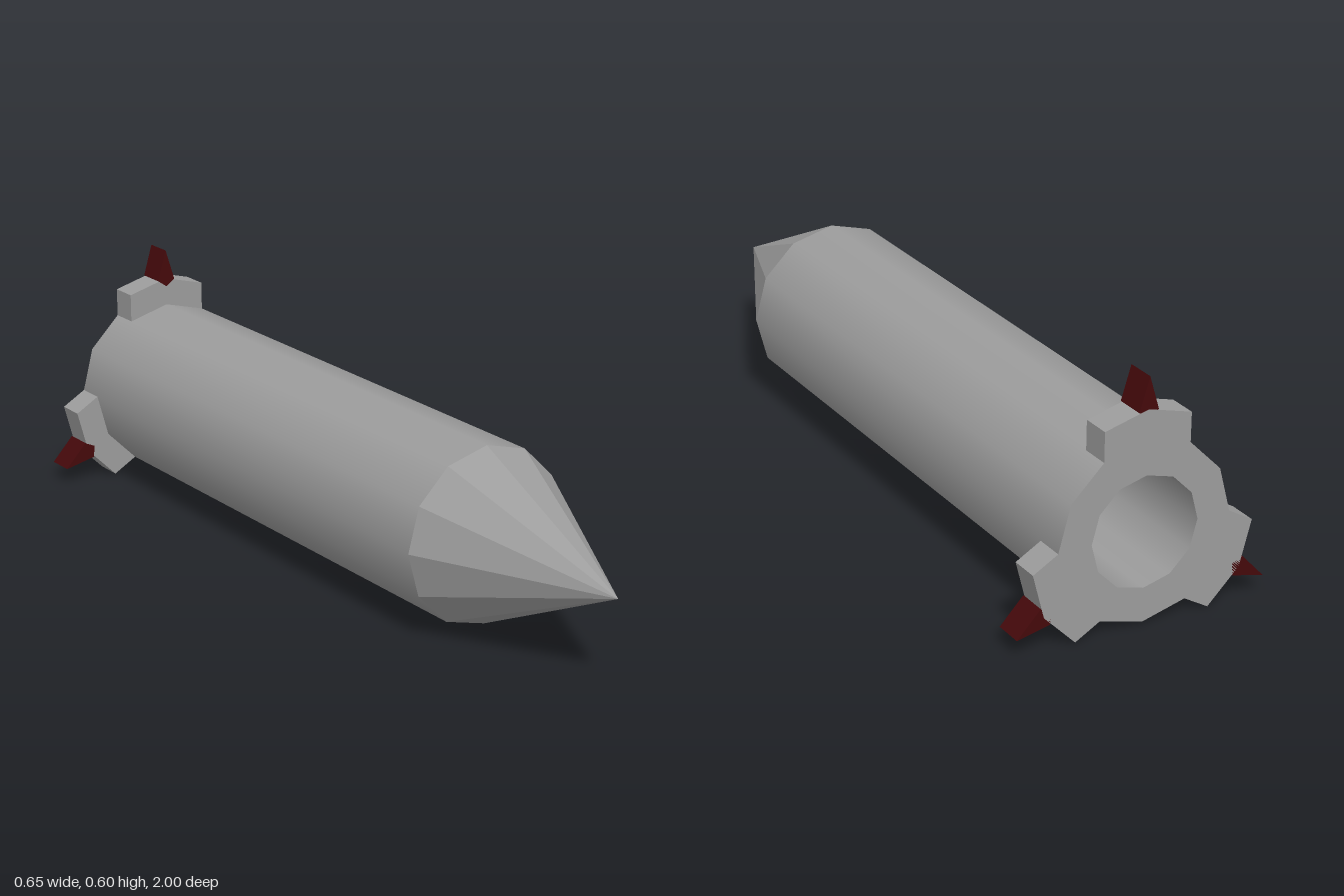
import * as THREE from 'three';

const SIDES = 12, R = 0.223, BORE = 0.138, CENTER_Y = 0.23;
const BACK = -1, SHOULDER = 0.515, TIP = 1, FIN_DEPTH = 0.074, LUG_RISE = 0.073;
const GREY = 0x9c9c9c, RED = 0x45090b;

export function createModel() {
  const model = new THREE.Group();
  model.name = 'rocket';
  const smooth = new THREE.MeshStandardMaterial({ color: GREY });
  const flat = new THREE.MeshStandardMaterial({ color: GREY, flatShading: true });
  const inside = new THREE.MeshStandardMaterial({ color: GREY, side: THREE.DoubleSide });
  const red = new THREE.MeshStandardMaterial({ color: RED, flatShading: true });

  const add = (parent, name, geometry, material) => {
    const mesh = new THREE.Mesh(geometry, material);
    mesh.name = name;
    parent.add(mesh);
  };
  // Tube or cone whose axis runs along z
  const barrel = (front, back, z0, z1) =>
    new THREE.CylinderGeometry(front, back, z1 - z0, SIDES, 1, true)
      .rotateX(Math.PI / 2).translate(0, 0, (z0 + z1) / 2);
  // Flat outline given thickness along z
  const plate = (points, depth) =>
    new THREE.ExtrudeGeometry(new THREE.Shape(points.map(([x, y]) => new THREE.Vector2(x, y))),
      { depth, bevelEnabled: false }).translate(0, 0, BACK);

  const axis = new THREE.Group();
  axis.name = 'fuselage';
  axis.position.y = CENTER_Y;
  model.add(axis);

  // Hull, faceted nose and hollow rear
  add(axis, 'body', barrel(R, R, BACK, SHOULDER), smooth);
  add(axis, 'noseCone', barrel(0, R, SHOULDER, TIP), flat);
  add(axis, 'bore', barrel(BORE, BORE, BACK, SHOULDER), inside);
  add(axis, 'boreEnd', new THREE.CircleGeometry(BORE, SIDES).rotateY(Math.PI).translate(0, 0, SHOULDER), flat);
  add(axis, 'rearRim', new THREE.RingGeometry(BORE, R, SIDES).rotateY(Math.PI).translate(0, 0, BACK), flat);

  // Lugs follow two hull facets, pushed outwards; each carries a pointed spike
  const w = R * Math.sin(Math.PI / 6), h = R * Math.cos(Math.PI / 6);
  const lug = plate([[-w, h], [0, R], [w, h], [w, h + LUG_RISE], [0, R + LUG_RISE], [-w, h + LUG_RISE]], FIN_DEPTH);
  const spike = plate([[0, 0.274], [0.025, 0.292], [0, 0.374], [-0.025, 0.292]], FIN_DEPTH + 0.001);
  for (let i = 0; i < 3; i++) {
    const fin = new THREE.Group();
    fin.name = 'fin';
    fin.rotation.z = i * Math.PI * 2 / 3;
    add(fin, 'lug', lug, flat);
    add(fin, 'spike', spike, red);
    axis.add(fin);
  }
  return model;
}
